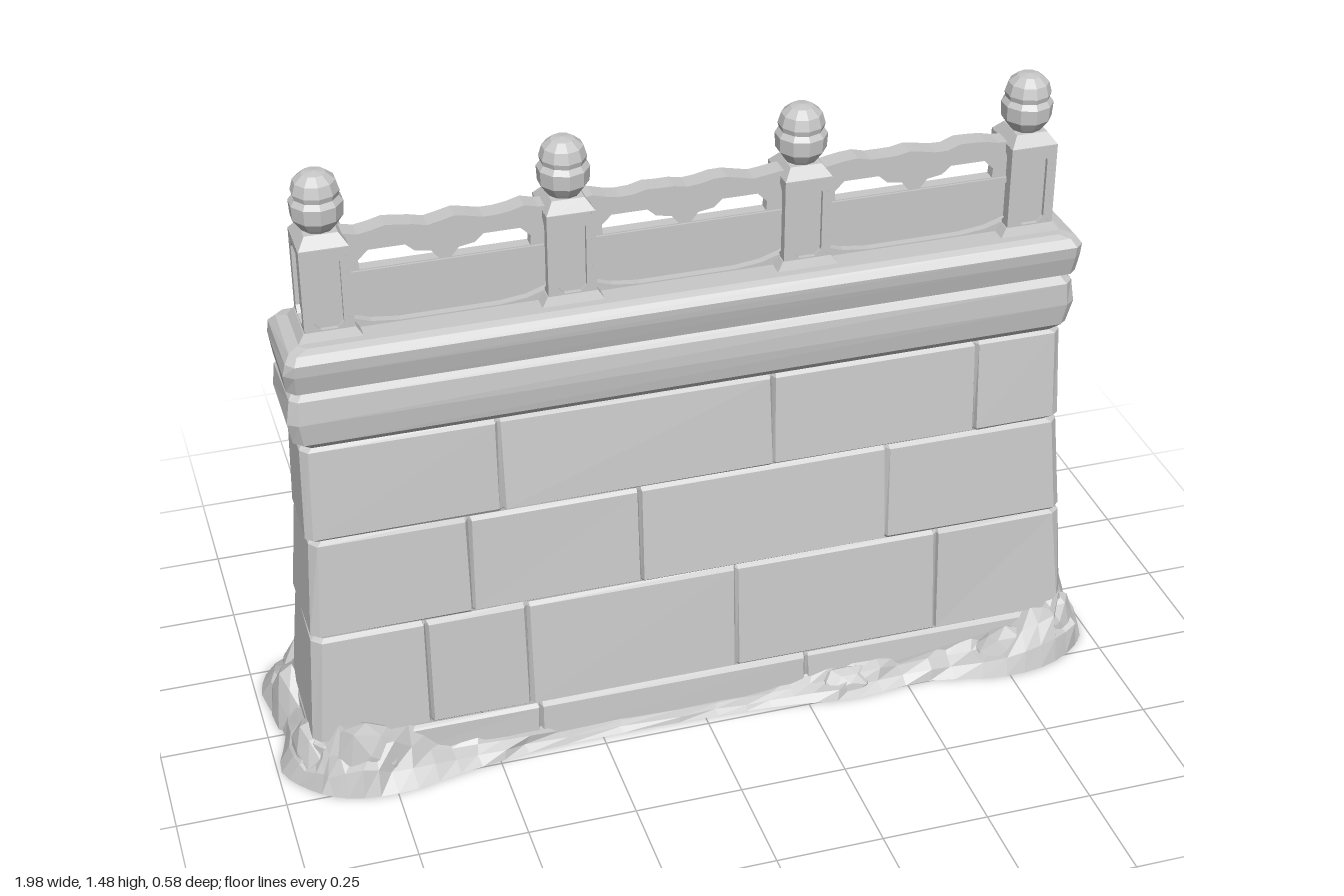
import * as THREE from 'three';
import { mergeGeometries } from 'three/addons/utils/BufferGeometryUtils.js';

const stone = new THREE.MeshStandardMaterial({ color: 0xc8c8c8, side: THREE.DoubleSide });
stone.name = 'grey stone';
const RAIL_Z = 0.047;

// repeatable noise in -1..1 from a position
function noise(x, y, z) {
  const s = Math.sin(Math.round(x * 500) * 1.27 + Math.round(y * 500) * 3.11 + Math.round(z * 500) * 7.47) * 43758.5453;
  return (s - Math.floor(s)) * 2 - 1;
}

function flat(geometry) {
  const g = geometry.index ? geometry.toNonIndexed() : geometry;
  g.computeVertexNormals();
  return g;
}

function add(parent, name, geometry, x = 0, y = 0, z = 0) {
  const mesh = new THREE.Mesh(flat(geometry), stone);
  mesh.name = name;
  mesh.position.set(x, y, z);
  parent.add(mesh);
  return mesh;
}

// skin over rings of [x, y, z], open below, optionally closed on top
function loft(rings, cap = false) {
  const pos = [];
  const n = rings[0].length;
  for (let r = 0; r < rings.length - 1; r++) {
    const a = rings[r], b = rings[r + 1];
    for (let i = 0; i < n; i++) {
      const j = (i + 1) % n;
      pos.push(...a[i], ...a[j], ...b[j], ...a[i], ...b[j], ...b[i]);
    }
  }
  if (cap) {
    const top = rings[rings.length - 1];
    const c = [0, top[0][1], RAIL_Z];
    for (let i = 0; i < n; i++) pos.push(...c, ...top[i], ...top[(i + 1) % n]);
  }
  const g = new THREE.BufferGeometry();
  g.setAttribute('position', new THREE.Float32BufferAttribute(pos, 3));
  return g;
}

// wall cross-section with a V groove at every upright joint
function section(y, [w, zf, zb], inset, front = [], back = [], rough = 0.003) {
  w -= inset; zf -= inset; zb += inset;
  const c = 0.018, g = 0.006, d = 0.012;
  const p = [[-w + c, zf]];
  front.forEach(j => p.push([j - g, zf], [j, zf - d], [j + g, zf]));
  p.push([w - c, zf], [w, zf - c], [w, zb + c], [w - c, zb]);
  back.forEach(j => p.push([j + g, zb], [j, zb + d], [j - g, zb]));
  p.push([-w + c, zb], [-w, zb + c], [-w, zf - c]);
  return p.map(([x, z]) => [x + rough * noise(x, y, z), y, z + rough * noise(z, x, y)]);
}

function polygon(points) {
  return new THREE.Shape(points.map(([x, y]) => new THREE.Vector2(x, y)));
}

function slab(shape, depth) {
  return new THREE.ExtrudeGeometry(shape, { depth, bevelEnabled: false }).translate(0, 0, -depth / 2);
}

// tall panel with cut corners
function octagon(w, y0, y1, c) {
  return [[-w + c, y0], [w - c, y0], [w, y0 + c], [w, y1 - c], [w - c, y1], [-w + c, y1], [-w, y1 - c], [-w, y0 + c]];
}

function frustum(y0, w0, d0, y1, w1, d1) {
  const ring = (y, w, d) => [[-w, y, d], [w, y, d], [w, y, -d], [-w, y, -d]];
  const g = loft([ring(y0, w0, d0), ring(y1, w1, d1)]);
  const lid = new THREE.PlaneGeometry(w1 * 2, d1 * 2).rotateX(-Math.PI / 2).translate(0, y1, 0).toNonIndexed();
  lid.deleteAttribute('uv');
  lid.deleteAttribute('normal');
  return mergeGeometries([g, lid]);
}

function buildWall(root) {
  const wall = new THREE.Group();
  wall.name = 'wall';
  root.add(wall);
  // bottom y, top y, [half width, front z, back z] at each, joints front and back
  const courses = [
    [0, 0.105, [0.925, 0.2, -0.11], [0.92, 0.194, -0.104], [-0.39, 0.26], [0.5, -0.2]],
    [0.105, 0.38, [0.918, 0.192, -0.102], [0.9, 0.172, -0.074], [-0.645, -0.41, 0.09, 0.585], [0.62, 0.13, -0.43]],
    [0.38, 0.625, [0.902, 0.17, -0.07], [0.886, 0.148, -0.05], [-0.53, -0.135, 0.46], [0.44, -0.09, -0.49]],
    [0.625, 0.855, [0.892, 0.147, -0.05], [0.885, 0.127, -0.044], [-0.45, 0.185, 0.675], [0.69, 0.42, -0.45]],
  ];
  courses.forEach(([y0, y1, a, b, front, back], i) => {
    const rings = [[y0, a, 0.01], [y0 + 0.008, a, 0], [y1 - 0.008, b, 0], [y1, b, 0.01]]
      .map(([y, dims, inset]) => section(y, dims, inset, front, back));
    add(wall, 'stoneCourse' + (i + 1), loft(rings));
  });
  // moulding and rounded coping
  const levels = [
    [0.855, 0.875, 0.117, -0.034], [0.875, 0.896, 0.138, -0.056], [0.93, 0.905, 0.146, -0.062],
    [0.985, 0.9, 0.142, -0.058], [1.0, 0.885, 0.124, -0.044],
  ];
  add(wall, 'moulding', loft(levels.map(([y, ...d]) => section(y, d, 0))));
  const coping = [
    [1.0, 0.885, 0.124, -0.044], [1.012, 0.902, 0.148, -0.058], [1.06, 0.908, 0.162, -0.066],
    [1.088, 0.905, 0.164, -0.068], [1.105, 0.893, 0.152, -0.056], [1.112, 0.87, 0.132, -0.036],
  ];
  add(wall, 'coping', loft(coping.map(([y, ...d]) => section(y, d, 0)), true));
}

function buildPost(parent, x) {
  const post = new THREE.Group();
  post.name = 'post';
  post.position.set(x, 0, RAIL_Z);
  parent.add(post);
  add(post, 'postFoot', frustum(1.085, 0.088, 0.078, 1.132, 0.056, 0.06));
  add(post, 'postCore', new THREE.BoxGeometry(0.09, 0.24, 0.1), 0, 1.21, 0);
  add(post, 'postTop', frustum(1.325, 0.054, 0.06, 1.35, 0.036, 0.038));
  // raised frames on four faces leave sunken panels
  for (let k = 0; k < 4; k++) {
    const side = k % 2;
    const half = side ? 0.06 : 0.054;
    const shape = polygon([[-half, 1.1], [half, 1.1], [half, 1.326], [-half, 1.326]]);
    shape.holes.push(polygon(octagon(half - 0.022, 1.135, 1.306, 0.014)));
    const reach = side ? 0.049 : 0.055;
    add(post, 'postFrame', slab(shape, 0.0098).translate(0, 0, reach).rotateY(k * Math.PI / 2));
  }
  // carved bud finial
  const profile = [[0.032, 1.345], [0.042, 1.358], [0.056, 1.378], [0.058, 1.412], [0.049, 1.424], [0.052, 1.436],
    [0.045, 1.46], [0.026, 1.476], [0, 1.48]];
  add(post, 'finial', new THREE.LatheGeometry(profile.map(p => new THREE.Vector2(...p)), 10));
}

function buildBalustrade(root) {
  const group = new THREE.Group();
  group.name = 'balustrade';
  root.add(group);
  const posts = [-0.797, -0.268, 0.265, 0.793];
  posts.forEach(x => buildPost(group, x));
  // worn handrail with a wavy top
  const rail = [[-0.84, 1.298], [0.84, 1.298]];
  for (let i = 0; i <= 56; i++) {
    const x = 0.84 - i * 0.03;
    rail.push([x, 1.335 + 0.005 * Math.sin(i * 1.3) + 0.003 * noise(x, 1, 0)]);
  }
  add(group, 'handrail', slab(polygon(rail), 0.046), 0, 0, RAIL_Z);
  for (let b = 0; b < 3; b++) {
    const cx = (posts[b] + posts[b + 1]) / 2;
    // panel pierced on both sides of a cloud-shaped bracket
    const panel = polygon([[-0.23, 1.09], [0.23, 1.09], [0.23, 1.31], [-0.23, 1.31]]);
    for (const s of [-1, 1]) {
      panel.holes.push(polygon([[0.185, 1.24], [0.014, 1.24], [0.03, 1.26], [0.065, 1.266], [0.085, 1.284],
        [0.165, 1.284], [0.187, 1.262]].map(([x, y]) => [s * x, y])));
    }
    add(group, 'railPanel', slab(panel, 0.026), cx, 0, RAIL_Z);
    add(group, 'panelLedge', new THREE.BoxGeometry(0.44, 0.014, 0.036), cx, 1.231, RAIL_Z);
    const sill = polygon([[-0.23, 1.08], [0.23, 1.08], [0.23, 1.142], [0.17, 1.122], [0.11, 1.115], [-0.11, 1.115],
      [-0.17, 1.122], [-0.23, 1.142]]);
    add(group, 'panelSill', slab(sill, 0.062), cx, 0, RAIL_Z);
  }
}

// water spout carved as a beast head
function buildSpout(root) {
  const spout = new THREE.Group();
  spout.name = 'waterSpout';
  root.add(spout);
  add(spout, 'backPlate', new THREE.BoxGeometry(0.1, 0.14, 0.03), 0, 0.915, -0.062);
  add(spout, 'head', new THREE.IcosahedronGeometry(0.045, 1).scale(0.95, 1.05, 1.1), 0, 0.925, -0.102);
  add(spout, 'upperJaw', new THREE.CylinderGeometry(0.024, 0.036, 0.08, 6).rotateX(-Math.PI / 2), 0, 0.912, -0.148);
  add(spout, 'nose', new THREE.IcosahedronGeometry(0.02, 0).scale(1.1, 0.9, 0.8), 0, 0.918, -0.178);
  add(spout, 'lowerJaw', new THREE.BoxGeometry(0.04, 0.014, 0.06).rotateX(-0.25), 0, 0.875, -0.135);
  for (const s of [-1, 1]) {
    add(spout, 'ear', new THREE.ConeGeometry(0.016, 0.06, 5).rotateX(0.25).rotateZ(-0.35 * s), s * 0.028, 0.972, -0.086);
    add(spout, 'brow', new THREE.IcosahedronGeometry(0.015, 0), s * 0.024, 0.948, -0.132);
  }
  add(spout, 'drip', new THREE.ConeGeometry(0.015, 0.16, 6).rotateX(Math.PI + 0.08), 0, 0.797, -0.149);
}

function buildRocks(root) {
  const rocks = new THREE.Group();
  rocks.name = 'rockBase';
  root.add(rocks);
  // ground outline as x, height, z
  const outline = [
    [-0.94, 0.09, 0.215], [-0.86, 0.13, 0.27], [-0.74, 0.12, 0.285], [-0.58, 0.06, 0.255], [-0.4, 0.035, 0.23], [0, 0.025, 0.228],
    [0.2, 0.03, 0.24], [0.36, 0.05, 0.262], [0.55, 0.05, 0.25], [0.74, 0.08, 0.288], [0.88, 0.12, 0.265], [0.98, 0.12, 0.18],
    [0.985, 0.12, 0], [0.985, 0.11, -0.17], [0.9, 0.11, -0.29], [0.76, 0.1, -0.27], [0.58, 0.09, -0.262], [0.38, 0.08, -0.215],
    [0.1, 0.05, -0.172], [-0.15, 0.06, -0.21], [-0.4, 0.09, -0.258], [-0.58, 0.09, -0.235], [-0.78, 0.1, -0.27],
    [-0.93, 0.11, -0.275], [-0.985, 0.11, -0.18], [-0.96, 0.11, 0], [-0.992, 0.09, 0.13],
  ].map(p => new THREE.Vector3(...p));
  const path = new THREE.CatmullRomCurve3(outline, true).getPoints(84).slice(0, -1);
  const ring = (t, k, rough) => path.map(p => {
    const x = THREE.MathUtils.lerp(p.x, THREE.MathUtils.clamp(p.x, -0.9, 0.9), t);
    const z = THREE.MathUtils.lerp(p.z, THREE.MathUtils.clamp(p.z, -0.095, 0.185), t);
    const n = noise(p.x, t, p.z) * rough;
    return [x + n * 0.008, Math.max(0, p.y * k * (1 + n * 0.3)), z + n * 0.01];
  });
  add(rocks, 'rockSkirt', loft([ring(0, 0, 0), ring(0.25, 0.42, 1), ring(0.6, 0.72, 1), ring(1, 1, 1)]));
  // boulders: x, z, radii x y z
  const boulders = [
    [-0.8, 0.2, 0.1, 0.165, 0.055], [-0.91, 0.12, 0.055, 0.13, 0.09], [-0.92, -0.08, 0.055, 0.13, 0.1],
    [-0.84, -0.18, 0.1, 0.15, 0.075], [-0.66, -0.15, 0.095, 0.13, 0.07], [-0.52, -0.13, 0.07, 0.1, 0.07],
    [-0.38, -0.155, 0.1, 0.125, 0.07], [-0.2, -0.13, 0.09, 0.085, 0.05], [0.0, -0.115, 0.1, 0.06, 0.04],
    [0.24, -0.125, 0.09, 0.08, 0.05], [0.44, -0.14, 0.09, 0.12, 0.06], [0.6, -0.16, 0.09, 0.13, 0.075],
    [0.73, -0.15, 0.07, 0.13, 0.08], [0.85, -0.15, 0.085, 0.17, 0.08], [0.88, -0.21, 0.07, 0.1, 0.065],
    [0.92, -0.05, 0.05, 0.14, 0.07], [0.925, 0.07, 0.05, 0.15, 0.08], [0.9, 0.18, 0.065, 0.155, 0.05],
    [0.76, 0.215, 0.09, 0.09, 0.05], [0.36, 0.205, 0.07, 0.055, 0.04],
  ];
  boulders.forEach(([x, z, rx, ry, rz]) => {
    const g = new THREE.IcosahedronGeometry(1, 1);
    const p = g.attributes.position;
    for (let i = 0; i < p.count; i++) {
      const k = 1 + 0.1 * noise(p.getX(i) + x, p.getY(i), p.getZ(i) + z);
      p.setXYZ(i, p.getX(i) * rx * k, Math.max(0, p.getY(i) * ry * k), p.getZ(i) * rz * k);
    }
    add(rocks, 'boulder', g, x, 0, z);
  });
}

export function createModel() {
  const root = new THREE.Group();
  root.name = 'balustradeWall';
  buildWall(root);
  buildBalustrade(root);
  buildSpout(root);
  buildRocks(root);
  return root;
}
